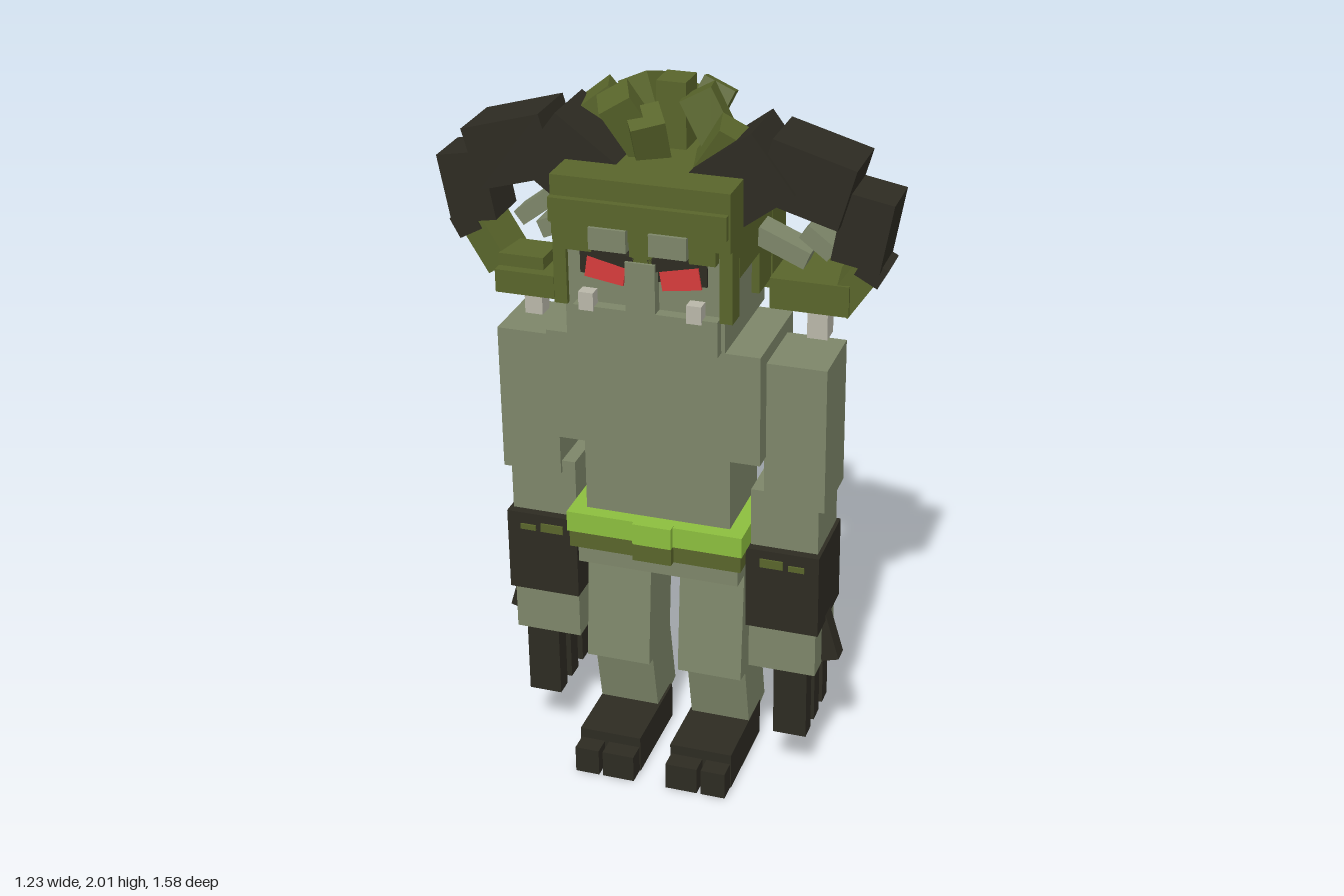
import * as THREE from 'three';

const mat = (name, color) => {
  const m = new THREE.MeshStandardMaterial({ color });
  m.name = name;
  return m;
};

export function createModel() {
  const model = new THREE.Group();
  model.name = 'hornedBeast';
  const skin = mat('sageSkin', 0x7d8669);
  const dark = mat('darkHorn', 0x2d2b22);
  const olive = mat('oliveHair', 0x59652b);
  const lime = mat('limeBelt', 0x8cbe3e);
  const red = mat('redEye', 0xd63c3c);
  const bone = mat('bone', 0xb9b7a9);

  // Box by centre, size and rotation
  const block = (name, m, c, s, r = [0, 0, 0]) => {
    const mesh = new THREE.Mesh(new THREE.BoxGeometry(...s), m);
    mesh.name = name;
    mesh.position.set(...c);
    mesh.rotation.set(...r);
    model.add(mesh);
    return mesh;
  };
  // Box by its extents
  const box = (name, m, x0, x1, y0, y1, z0, z1) =>
    block(name, m, [(x0 + x1) / 2, (y0 + y1) / 2, (z0 + z1) / 2], [Math.abs(x1 - x0), y1 - y0, z1 - z0]);
  // The same box on both sides
  const pair = (name, m, x0, x1, ...yz) => {
    box(name + 'Left', m, x0, x1, ...yz);
    box(name + 'Right', m, -x1, -x0, ...yz);
  };
  const pairBlock = (name, m, c, s, r = [0, 0, 0]) => {
    block(name + 'Left', m, c, s, r);
    block(name + 'Right', m, [-c[0], c[1], c[2]], s, [r[0], -r[1], -r[2]]);
  };

  // Torso
  box('chest', skin, -0.295, 0.295, 1.03, 1.345, 0.378, 0.685);
  box('abdomen', skin, -0.205, 0.205, 0.74, 1.03, 0.405, 0.66);
  box('pelvis', skin, -0.23, 0.23, 0.64, 0.74, 0.4, 0.67);
  box('neck', skin, -0.105, 0.105, 1.34, 1.42, 0.44, 0.63);
  box('belt', lime, -0.25, 0.25, 0.75, 0.81, 0.375, 0.7);
  box('beltLower', olive, -0.245, 0.245, 0.7, 0.75, 0.38, 0.695);
  box('buckle', lime, -0.055, 0.055, 0.75, 0.812, 0.69, 0.716);
  box('buckleLower', olive, -0.055, 0.055, 0.7, 0.75, 0.69, 0.716);

  // Arms, gauntlets and claws
  pair('upperArm', skin, 0.29, 0.458, 0.885, 1.305, 0.43, 0.63);
  pair('forearm', skin, 0.252, 0.44, 0.74, 0.92, 0.425, 0.62);
  pair('gauntlet', dark, 0.245, 0.45, 0.505, 0.75, 0.415, 0.645);
  pair('hand', skin, 0.25, 0.44, 0.365, 0.505, 0.43, 0.63);
  for (const z of [0.595, 0.507, 0.417]) pair('finger', dark, 0.32, 0.415, 0.15, 0.365, z - 0.026, z + 0.026);
  pairBlock('thumb', dark, [0.445, 0.45, 0.535], [0.05, 0.15, 0.05], [0, 0, 0.28]);
  for (const z of [0.413, 0.647]) {
    pair('gauntletSpot', olive, 0.285, 0.35, 0.7, 0.725, z - 0.003, z + 0.003);
    pair('gauntletDash', olive, 0.365, 0.41, 0.7, 0.716, z - 0.003, z + 0.003);
  }

  // Legs and feet
  pairBlock('thigh', skin, [0.135, 0.49, 0.525], [0.185, 0.38, 0.18], [-0.1, 0, 0]);
  pairBlock('shin', skin, [0.138, 0.235, 0.485], [0.172, 0.3, 0.155], [0.2, 0, 0]);
  pair('foot', dark, 0.045, 0.225, 0, 0.11, 0.43, 0.715);
  pair('innerToe', dark, 0.048, 0.14, 0, 0.08, 0.7, 0.768);
  pair('outerToe', dark, 0.152, 0.222, 0, 0.08, 0.7, 0.768);

  // Tail segments between points [z, y]
  const tailPart = (name, a, b, w, h) =>
    block(name, skin, [0, (a[1] + b[1]) / 2, (a[0] + b[0]) / 2],
      [w, h, Math.hypot(b[0] - a[0], b[1] - a[1])], [Math.atan2(b[1] - a[1], a[0] - b[0]), 0, 0]);
  tailPart('tailBase', [0.45, 0.727], [0.06, 0.67], 0.114, 0.107);
  tailPart('tailMiddle', [0.065, 0.67], [-0.242, 0.68], 0.08, 0.076);
  tailPart('tailEnd', [-0.235, 0.688], [-0.53, 0.612], 0.046, 0.055);
  // Crossed spade tip
  const tip = new THREE.Group();
  tip.name = 'tailTip';
  tip.position.set(0, 0.567, -0.65);
  tip.rotation.x = -0.28;
  const spade = new THREE.Mesh(new THREE.BoxGeometry(0.21, 0.032, 0.21), dark);
  spade.name = 'tipDiamond';
  spade.rotation.y = Math.PI / 4;
  const fin = new THREE.Mesh(new THREE.BoxGeometry(0.04, 0.142, 0.245), dark);
  fin.name = 'tipFin';
  tip.add(spade, fin);
  model.add(tip);

  // Head and face
  box('head', skin, -0.215, 0.215, 1.37, 1.7, 0.38, 0.735);
  box('jaw', skin, -0.183, 0.205, 1.37, 1.47, 0.7, 0.768);
  box('nose', skin, -0.04, 0.04, 1.47, 1.605, 0.73, 0.768);
  pair('eyeSocket', dark, 0.03, 0.17, 1.55, 1.63, 0.733, 0.741);
  pairBlock('eye', red, [0.1, 1.568, 0.743], [0.105, 0.065, 0.008], [0, 0, 0.15]);
  pairBlock('eyelid', dark, [0.085, 1.612, 0.75], [0.13, 0.035, 0.02], [0, 0, 0.22]);
  pair('brow', skin, 0.03, 0.13, 1.635, 1.695, 0.73, 0.785);
  pair('browHair', olive, 0.13, 0.2, 1.62, 1.7, 0.73, 0.765);
  box('browGap', olive, -0.03, 0.03, 1.605, 1.7, 0.73, 0.76);
  pair('fang', bone, 0.125, 0.165, 1.46, 1.51, 0.74, 0.775);

  // Hair cap, side locks and back panel
  box('hairCap', olive, -0.235, 0.24, 1.66, 1.82, 0.29, 0.768);
  box('fringe', olive, -0.235, 0.235, 1.7, 1.765, 0.75, 0.787);
  pair('sideHair', olive, 0.205, 0.238, 1.56, 1.7, 0.38, 0.68);
  pair('frontLock', olive, 0.205, 0.24, 1.46, 1.7, 0.69, 0.75);
  pair('sideLock', olive, 0.2, 0.236, 1.44, 1.7, 0.36, 0.5);
  box('backHair', olive, -0.235, 0.24, 1.41, 1.7, 0.262, 0.39);
  block('backBun', olive, [0, 1.745, 0.275], [0.36, 0.095, 0.07], [-0.12, 0, 0]);
  box('crownPad', olive, -0.2, -0.07, 1.81, 1.85, 0.34, 0.46);
  pair('hairBead', bone, 0.15, 0.19, 1.34, 1.42, 0.33, 0.37);

  // Tuft of hair on the crown: centre, size, rotation
  const tufts = [
    [[0, 1.91, 0.46], [0.08, 0.18, 0.09], [0, 0, 0]],
    [[-0.09, 1.9, 0.56], [0.09, 0.18, 0.1], [0.2, 0.4, 0.45]],
    [[0.11, 1.9, 0.5], [0.09, 0.18, 0.1], [-0.15, 0.2, 0.5]],
    [[-0.17, 1.89, 0.47], [0.09, 0.15, 0.09], [0, 0.3, 0.65]],
    [[0.16, 1.86, 0.57], [0.09, 0.13, 0.09], [0.2, 0.2, -0.6]],
    [[-0.04, 1.87, 0.57], [0.09, 0.14, 0.09], [0.4, 0.5, 0]],
    [[0, 1.9, 0.37], [0.08, 0.08, 0.11], [-0.1, 0, 0]],
    [[0.08, 1.93, 0.4], [0.09, 0.09, 0.1], [-0.3, 0.2, -0.4]],
    [[-0.1, 1.93, 0.41], [0.09, 0.09, 0.1], [-0.3, -0.2, 0.4]],
  ];
  tufts.forEach(([c, s, r]) => block('tuft', olive, c, s, r));

  // Curled horns
  pairBlock('hornBase', dark, [0.215, 1.79, 0.56], [0.25, 0.19, 0.195], [0, 0, 0.64]);
  pairBlock('hornMiddle', dark, [0.395, 1.815, 0.557], [0.225, 0.17, 0.175], [0, 0, -0.28]);
  pairBlock('hornEnd', dark, [0.535, 1.69, 0.54], [0.13, 0.19, 0.14], [0, 0, -0.18]);
  pairBlock('hornTip', dark, [0.555, 1.575, 0.53], [0.07, 0.06, 0.11], [0, 0, -0.5]);
  pairBlock('hornWrap', olive, [0.5, 1.525, 0.52], [0.075, 0.16, 0.12], [0, 0.15, -0.6]);

  // Hanging charms
  box('charmLeft', olive, 0.29, 0.5, 1.445, 1.53, 0.365, 0.59);
  box('charmBoneLeft', bone, 0.37, 0.425, 1.335, 1.445, 0.45, 0.51);
  box('charmRight', olive, -0.457, -0.29, 1.41, 1.475, 0.47, 0.63);
  box('charmTopRight', olive, -0.457, -0.33, 1.475, 1.51, 0.49, 0.6);
  box('charmBoneRight', bone, -0.4, -0.35, 1.33, 1.41, 0.52, 0.57);

  // Ears
  pairBlock('earBase', skin, [0.3, 1.585, 0.48], [0.15, 0.05, 0.08], [0, 0, -0.4]);
  pairBlock('earTip', skin, [0.395, 1.605, 0.47], [0.095, 0.045, 0.08], [0, 0, -0.65]);
  return model;
}
